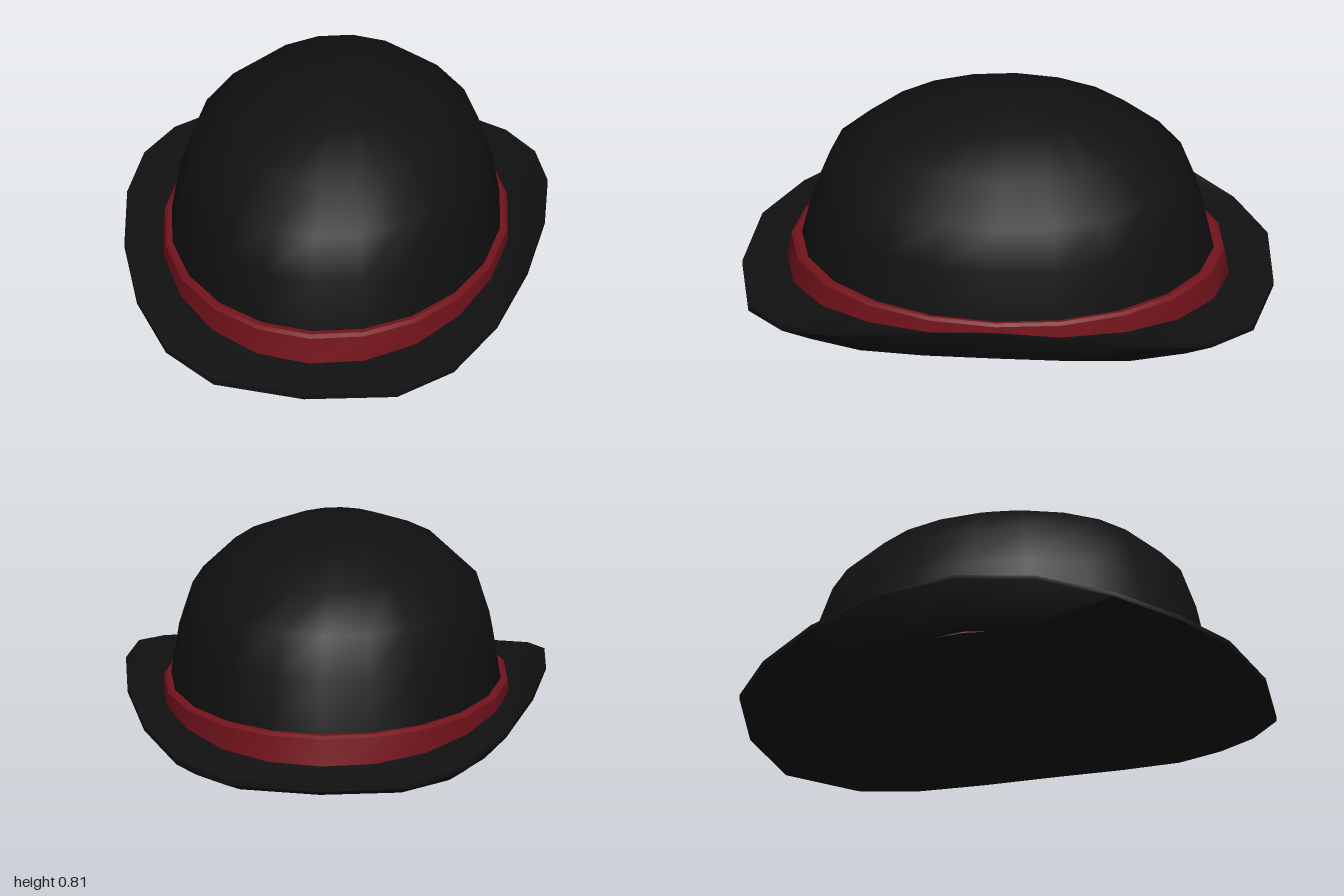
import * as THREE from 'three';
import { toCreasedNormals } from 'three/addons/utils/BufferGeometryUtils.js';

const SEGMENTS = 20;

// Skins a stack of oval rings, listed so the outside faces out.
// Ring: [half width, half depth, height at front/back, extra height at the sides, squareness power]
function ovalLoft(rings, crease) {
  const positions = [];
  const index = [];
  for (const [rx, rz, y, lift = 0, power = 1] of rings) {
    for (let j = 0; j < SEGMENTS; j++) {
      const a = (j / SEGMENTS) * Math.PI * 2;
      const c = Math.cos(a);
      const side = Math.abs(c) < 1e-6 ? 0 : Math.abs(c);
      positions.push(
        Math.sign(c) * Math.pow(side, power) * rx,
        y + lift * side ** 3,
        Math.sin(a) * rz
      );
    }
  }
  for (let i = 0; i < rings.length - 1; i++) {
    for (let j = 0; j < SEGMENTS; j++) {
      const k = (j + 1) % SEGMENTS;
      const a = i * SEGMENTS + j, b = i * SEGMENTS + k;
      const c = a + SEGMENTS, d = b + SEGMENTS;
      if (rings[i][0] > 0) index.push(a, c, b);
      if (rings[i + 1][0] > 0) index.push(b, c, d);
    }
  }
  const geometry = new THREE.BufferGeometry();
  geometry.setAttribute('position', new THREE.Float32BufferAttribute(positions, 3));
  geometry.setIndex(index);
  return toCreasedNormals(geometry, crease);
}

export function createModel() {
  const hat = new THREE.Group();
  hat.name = 'bowlerHat';
  const felt = new THREE.MeshStandardMaterial({ color: 0x111111 });
  const ribbon = new THREE.MeshStandardMaterial({ color: 0x74131c });

  const add = (name, rings, material, crease) => {
    const mesh = new THREE.Mesh(ovalLoft(rings, crease), material);
    mesh.name = name;
    hat.add(mesh);
  };

  // Brim: underside from the centre outward, round the rim, back over the top
  add('brim', [
    [0, 0, 0.04],
    [0.34, 0.45, 0.04],
    [0.69, 0.87, 0, 0.09, 0.7],
    [0.79, 1, 0.05, 0.195, 0.7],
    [0.79, 1, 0.07, 0.19, 0.7],
    [0.735, 0.91, 0.085, 0.12, 0.85],
    [0.65, 0.83, 0.1, 0.06],
    [0.59, 0.74, 0.11, 0.05],
  ], felt, 0.75);

  // Domed crown
  add('crown', [
    [0.63, 0.79, 0.12],
    [0.62, 0.775, 0.21],
    [0.59, 0.73, 0.4],
    [0.54, 0.67, 0.56],
    [0.41, 0.515, 0.69],
    [0.22, 0.28, 0.78],
    [0, 0, 0.81],
  ], felt, 0.75);

  // Ribbon band with a bevelled top edge
  add('hatBand', [
    [0.658, 0.835, 0.08],
    [0.646, 0.815, 0.2],
    [0.634, 0.8, 0.21],
    [0.61, 0.765, 0.208],
  ], ribbon, 0.6);

  return hat;
}
